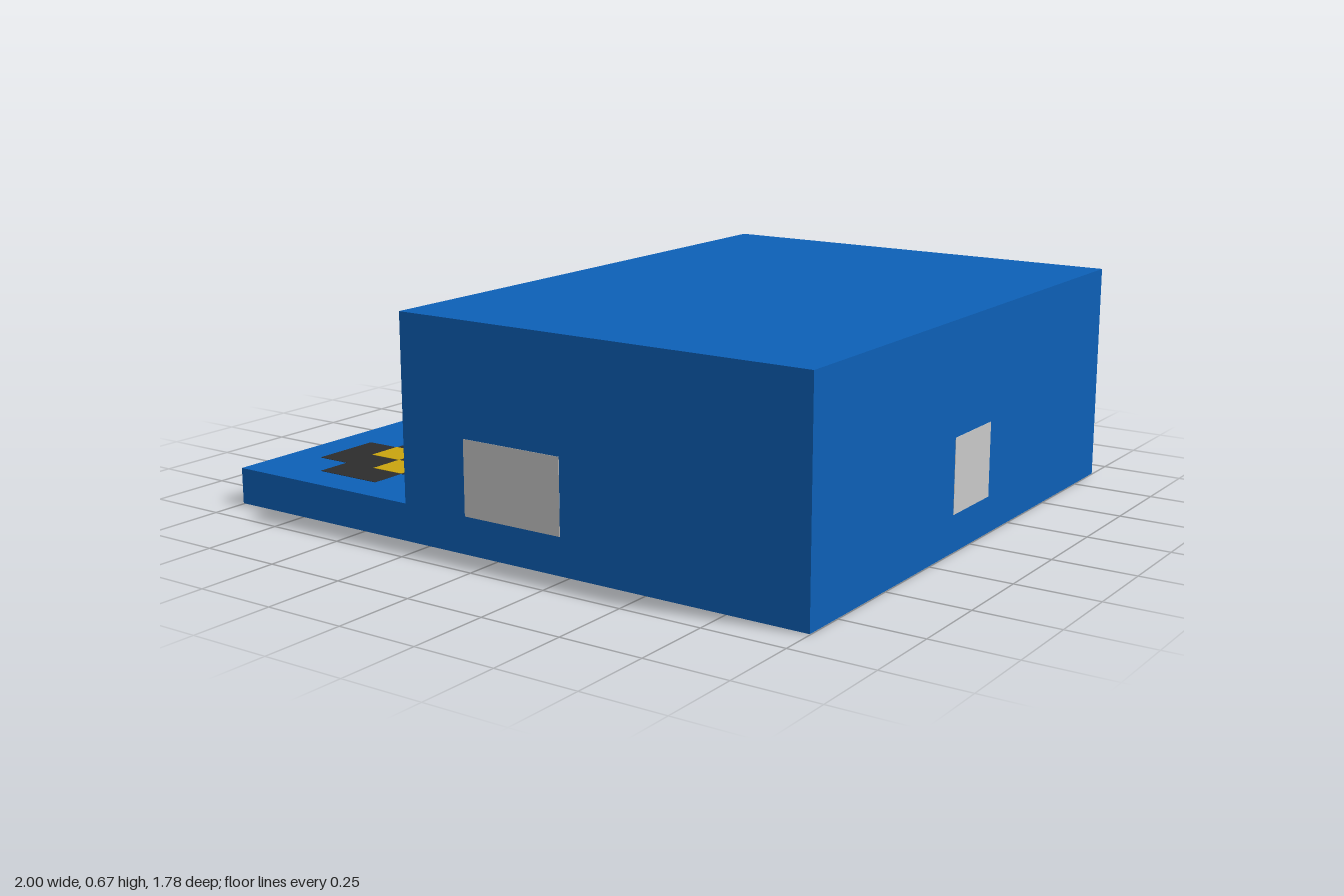
import * as THREE from 'three';

const U = 1 / 9; // one grid cell
const T = 0.002; // thickness of painted plates

export function createModel() {
  const model = new THREE.Group();
  model.name = 'steppedBlock';

  const material = (name, color) => {
    const m = new THREE.MeshStandardMaterial({ color });
    m.name = name;
    return m;
  };
  const blue = material('blue', 0x0d60b7);
  const grey = material('lightGrey', 0xc9c9c9);
  const dark = material('darkGrey', 0x2d2d2d);
  const yellow = material('yellow', 0xc9a40f);

  // Body: L-shaped profile with a low ledge, extruded front to back
  const profile = new THREE.Shape(
    [[-9, 0], [9, 0], [9, 6], [-3, 6], [-3, 1], [-9, 1]].map(([x, y]) => new THREE.Vector2(x * U, y * U))
  );
  const bodyGeometry = new THREE.ExtrudeGeometry(profile, { depth: 16 * U, bevelEnabled: false });
  bodyGeometry.translate(0, 0, -8 * U);
  const body = new THREE.Mesh(bodyGeometry, blue);
  body.name = 'body';
  model.add(body);

  // Thin plate: size and centre in cells, a zero size means the plate thickness
  const plate = (name, mat, size, centre, parent = model) => {
    const geometry = new THREE.BoxGeometry(...size.map((s) => (s ? s * U : T)));
    const mesh = new THREE.Mesh(geometry, mat);
    mesh.name = name;
    mesh.position.set(...centre.map((c) => c * U));
    parent.add(mesh);
  };

  // Wall windows and the long panel above the ledge
  plate('frontWindow', grey, [3, 2, 0], [0.5, 2, 8]);
  plate('backWindow', grey, [3, 2, 0], [0.5, 2, -8]);
  plate('sideWindow', grey, [0, 2, 2], [9, 2, 0]);
  plate('ledgePanel', grey, [0, 4, 14], [-3, 3, 0]);

  // Cross emblem on the top and underside of the ledge
  for (const [name, y, out] of [['topEmblem', 1, 1], ['undersideEmblem', 0, -1]]) {
    const emblem = new THREE.Group();
    emblem.name = name;
    emblem.position.set(-6 * U, y * U, 5 * U);
    plate('crossMiddle', dark, [4, 0, 2], [0, 0, 0], emblem);
    for (const s of [-1, 1]) {
      plate('crossArm', dark, [2, 0, 1], [0, 0, 1.5 * s], emblem);
      plate('yellowSquare', yellow, [1, 0, 1], [0.5 * s, out * 0.01, 0.5 * s], emblem);
    }
    model.add(emblem);
  }

  return model;
}
